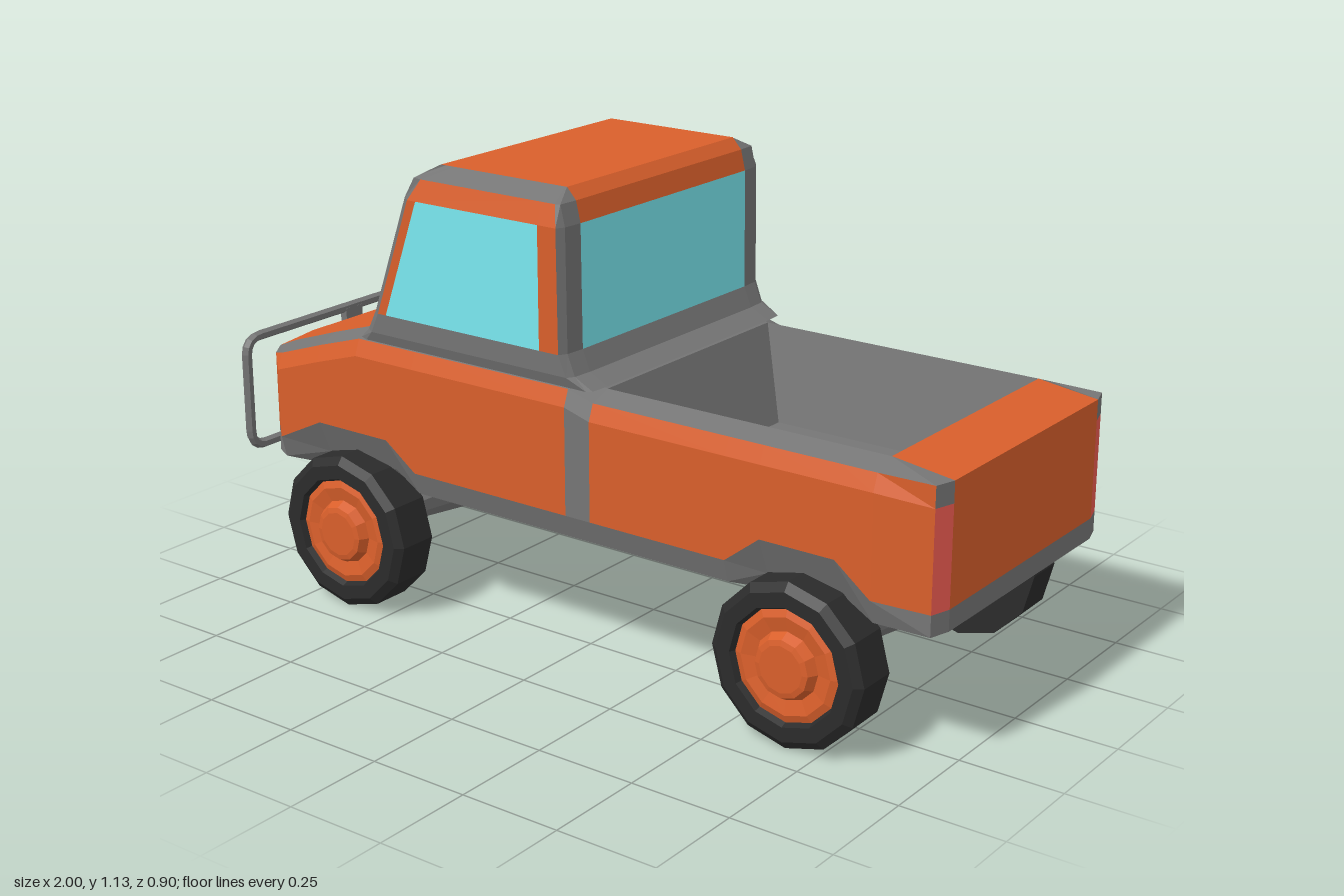
import * as THREE from 'three';

const COLORS = {
  paint: 0xd95f2b, trim: 0x757575, glass: 0x7ae8f0, tyre: 0x2b2b2b,
  headlight: 0xcdbb4a, tailLight: 0xea5a50,
};
const MATS = {};
for (const k in COLORS) {
  MATS[k] = new THREE.MeshStandardMaterial({ color: COLORS[k], flatShading: true, side: THREE.DoubleSide });
}

function add(parent, name, geometry, mat) {
  const mesh = new THREE.Mesh(geometry, MATS[mat]);
  mesh.name = name;
  parent.add(mesh);
  return mesh;
}

// Skin rows of points with quads; pick(i, j) names the material of each quad, or null for a hole.
function skin(parent, name, rows, pick) {
  const sets = {};
  for (let i = 0; i < rows.length - 1; i++) {
    for (let j = 0; j < rows[i].length - 1; j++) {
      const key = pick(i, j);
      if (!key) continue;
      const a = rows[i][j], b = rows[i][j + 1], c = rows[i + 1][j + 1], d = rows[i + 1][j];
      (sets[key] ??= []).push(...a, ...b, ...c, ...a, ...c, ...d);
    }
  }
  for (const key in sets) {
    const g = new THREE.BufferGeometry();
    g.setAttribute('position', new THREE.Float32BufferAttribute(sets[key], 3));
    g.computeVertexNormals();
    add(parent, name + key[0].toUpperCase() + key.slice(1), g, key);
  }
}

// Mirror a +z half ring to -z and close it.
function closeRing(half) {
  const ring = [...half, ...half.slice().reverse().map(([x, y, z]) => [x, y, -z])];
  return [...ring, ring[0]];
}

// Regular cross-section of the lower body.
function section(x, top, sill = 0.38) {
  const arch = sill > 0.4;
  const yb = 0.31;
  return [
    [x, yb, 0.18], [x, yb, 0.32], [x, arch ? 0.36 : yb + 0.015, arch ? 0.355 : 0.375], [x, sill, 0.39],
    [x, top - 0.06, 0.39], [x, top - 0.02, 0.375], [x, top, 0.32], [x, top, 0.18],
  ];
}

// Squared end section whose face bulges towards the middle.
function endSection(bulge, ys) {
  const p = (z, y) => [bulge(z), y, z];
  return [p(0.18, ys[0]), p(0.32, ys[0]), ...ys.map(y => p(0.37, y)), p(0.32, ys[3]), p(0.18, ys[3])];
}

function addBody(truck) {
  const tailX = z => (z > 0.35 ? 0.985 : 1);
  const noseX = z => (z > 0.35 ? -0.89 : z > 0.2 ? -0.925 : -0.95);
  const tailY = [0.325, 0.375, 0.61, 0.66];
  const noseY = [0.335, 0.41, 0.55, 0.59];
  const halves = [
    endSection(tailX, tailY),
    section(0.85, 0.68), section(0.76, 0.68, 0.45), section(0.57, 0.68, 0.45), section(0.48, 0.68),
    section(0.11, 0.68), section(0.04, 0.7), section(-0.42, 0.7),
    section(-0.51, 0.7, 0.445), section(-0.6, 0.7, 0.445), section(-0.73, 0.66, 0.445),
    section(-0.865, 0.615),
    endSection(noseX, noseY),
  ];
  skin(truck, 'body', halves.map(closeRing), (i, j) => {
    const k = j === 15 ? 0 : Math.min(j, 14 - j);
    if (k >= 6) return i >= 1 && i <= 4 ? null : i === 5 ? 'trim' : 'paint'; // open bed
    if (k === 1 || k === 2 || k === 5) return 'trim';
    return i === 5 ? 'trim' : 'paint'; // band behind the door
  });

  // Tail and nose faces with their lights
  const cols = [-0.37, -0.32, -0.18, 0.18, 0.32, 0.37];
  const face = (xs, zs, ys) => ys.map(y => zs.map(z => [xs(Math.abs(z)), y, z]));
  skin(truck, 'tail', face(tailX, cols.slice().reverse(), tailY), (i, j) => {
    if (i === 0) return 'trim';
    if (j === 0 || j === 4) return i === 1 ? 'tailLight' : 'trim';
    return 'paint';
  });
  skin(truck, 'nose', face(noseX, cols, noseY), (i, j) =>
    i === 0 ? 'trim' : i === 2 ? 'paint' : j === 2 ? 'trim' : 'headlight');

  // Load bed
  const rim = closeRing([[0.11, 0.68, 0.32], [0.85, 0.68, 0.32]]);
  const floor = closeRing([[0.18, 0.45, 0.27], [0.85, 0.45, 0.27]]);
  skin(truck, 'bedWalls', [rim, floor], () => 'trim');
  skin(truck, 'bedFloor', [[floor[0], floor[1]], [floor[3], floor[2]]], () => 'trim');
}

function addCab(truck) {
  // y, front x, back x, half width
  const levels = [
    [0.685, -0.61, 0.11, 0.38], [0.71, -0.585, 0.06, 0.388], [0.76, -0.56, 0.04, 0.39],
    [1.05, -0.455, 0.037, 0.39], [1.1, -0.425, 0.025, 0.375], [1.127, -0.37, 0, 0.32],
  ];
  const rings = levels.map(([y, f, b, w]) => closeRing([
    [f, y, 0.32], [f + 0.015, y, Math.min(0.37, w)], [f + 0.04, y, w], [f + 0.065, y, w],
    [-0.03, y, w], [b - 0.015, y, w], [b - 0.004, y, Math.min(0.37, w)], [b, y, 0.32],
  ]));
  skin(truck, 'cab', rings, (i, j) => {
    if (i < 2) return 'trim';
    const k = j === 7 || j === 15 ? 7 : j < 7 ? j : 14 - j;
    if (k === 0 || k === 1 || k === 5 || k === 6) return k === 1 || k === 5 ? (i === 2 ? 'trim' : 'trim') : 'trim';
    if (i === 2) return k === 3 || k === 7 ? 'glass' : 'paint';
    return i === 4 && k !== 7 ? 'trim' : 'paint';
  });
  const r = rings[5];
  skin(truck, 'roof', [[r[0], r[7]], [r[15], r[8]]], () => 'paint');
}

function addWheel(truck, x, side) {
  const wheel = new THREE.Group();
  wheel.name = 'wheel';
  const lathe = (name, pts, mat, n) =>
    add(wheel, name, new THREE.LatheGeometry(pts.map(p => new THREE.Vector2(...p)), n), mat);
  lathe('tyre', [[0.035, 0.275], [0.12, 0.325], [0.195, 0.325], [0.195, 0.425], [0.175, 0.44], [0.14, 0.44], [0.13, 0.42]], 'tyre', 12);
  lathe('rim', [[0.135, 0.425], [0.115, 0.432], [0.08, 0.425], [0.068, 0.447], [0.055, 0.45], [0, 0.45]], 'paint', 12);
  wheel.rotation.x = side * Math.PI / 2;
  wheel.position.set(x, 0.195, 0);
  truck.add(wheel);
}

function addBullBar(truck) {
  const bar = new THREE.Group();
  bar.name = 'bullBar';
  const x = -0.987, w = 0.377, lo = 0.323, hi = 0.607, r = 0.045;
  const v = (y, z) => new THREE.Vector3(x, y, z);
  // Rounded rectangle of straight runs and bends
  const path = new THREE.CurvePath();
  const corners = [[lo, -w], [lo, w], [hi, w], [hi, -w]].map(([y, z]) => v(y, z));
  corners.forEach((c, i) => {
    const next = corners[(i + 1) % 4], after = corners[(i + 2) % 4];
    const d = next.clone().sub(c).setLength(r), e = after.clone().sub(next).setLength(r);
    path.add(new THREE.LineCurve3(c.clone().add(d), next.clone().sub(d)));
    path.add(new THREE.QuadraticBezierCurve3(next.clone().sub(d), next, next.clone().add(e)));
  });
  add(bar, 'frame', new THREE.TubeGeometry(path, 120, 0.013, 6, true), 'trim');
  const post = add(bar, 'post', new THREE.BoxGeometry(0.02, hi - lo, 0.06), 'trim');
  post.position.set(x + 0.002, (lo + hi) / 2, 0);
  const bracket = add(bar, 'bracket', new THREE.BoxGeometry(0.1, 0.02, 0.06), 'trim');
  bracket.position.set(-0.935, 0.329, 0);
  bracket.rotation.z = 0.15;
  truck.add(bar);
}

export function createModel() {
  const truck = new THREE.Group();
  truck.name = 'pickupTruck';
  addBody(truck);
  addCab(truck);
  for (const x of [-0.625, 0.67]) {
    const pts = [[0.035, -0.28], [0.067, 0], [0.035, 0.28]].map(p => new THREE.Vector2(...p));
    const axle = add(truck, 'axle', new THREE.LatheGeometry(pts, 10), 'trim');
    axle.rotation.x = Math.PI / 2;
    axle.position.set(x, 0.197, 0);
    for (const side of [-1, 1]) addWheel(truck, x, side);
  }
  addBullBar(truck);
  return truck;
}
